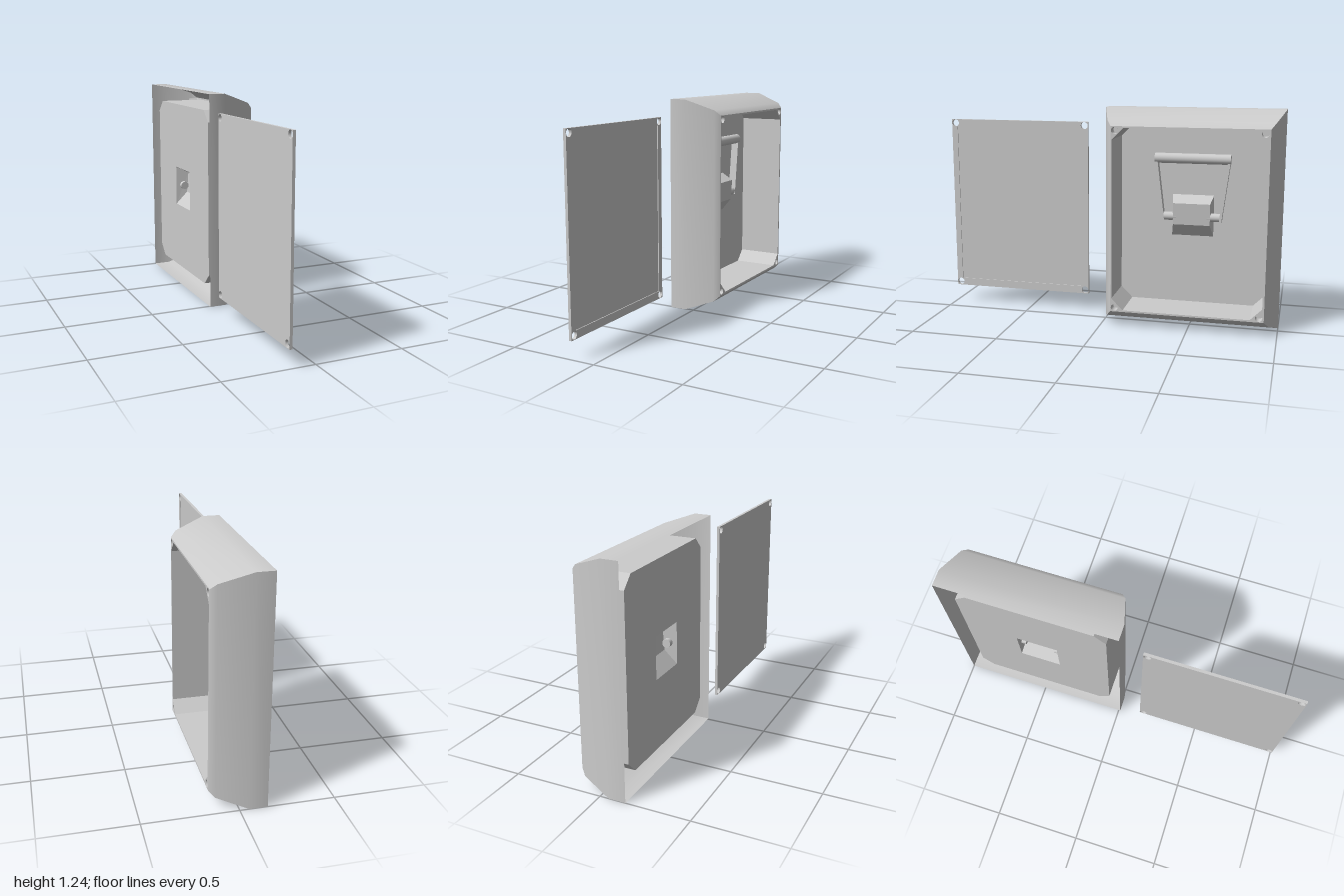
import * as THREE from 'three';

const solid = new THREE.MeshStandardMaterial({ color: 0xcccccc });
const thin = new THREE.MeshStandardMaterial({ color: 0xcccccc, side: THREE.DoubleSide });

// Parts are drawn facing local +z (u across, v up, w out); the group is then turned to face +x.
export function createModel() {
  const model = new THREE.Group();
  model.name = 'latchBox';

  const add = (parent, name, geometry, material, u = 0, v = 0, w = 0) => {
    const mesh = new THREE.Mesh(geometry, material);
    mesh.name = name;
    mesh.position.set(u, v, w);
    parent.add(mesh);
    return mesh;
  };

  // Ribbon of quads between pairs of points
  const ribbon = (pairs, flat = false) => {
    const g = new THREE.BufferGeometry();
    const index = [];
    for (let i = 0; i < pairs.length - 1; i++) {
      const k = i * 2;
      index.push(k, k + 1, k + 3, k, k + 3, k + 2);
    }
    g.setAttribute('position', new THREE.Float32BufferAttribute(pairs.flat(2), 3));
    g.setIndex(index);
    const out = flat ? g.toNonIndexed() : g;
    out.computeVertexNormals();
    return out;
  };

  // Rectangle outline, with optional cut corners
  const outline = (u0, u1, v0, v1, c = 0) => (c
    ? [[u0 + c, v0], [u1 - c, v0], [u1, v0 + c], [u1, v1 - c],
      [u1 - c, v1], [u0 + c, v1], [u0, v1 - c], [u0, v0 + c]]
    : [[u0, v0], [u1, v0], [u1, v1], [u0, v1]]).map(([x, y]) => new THREE.Vector2(x, y));

  const circle = (u, v, r) => new THREE.Path().absarc(u, v, r, 0, Math.PI * 2, true);
  const shape = (points, holes = []) => {
    const s = new THREE.Shape(points);
    s.holes.push(...holes);
    return s;
  };
  const corners = (u0, u1, v0, v1) => [[u0, v0], [u1, v0], [u1, v1], [u0, v1]];

  // ---- Housing ----
  const housing = new THREE.Group();
  housing.name = 'housing';
  model.add(housing);

  // Outer shell: w, inset across, inset up
  const profile = [[-0.145, 0, 0], [-0.05, 0, 0], [0.115, 0.048, 0.06], [0.145, 0.072, 0.09]];
  const ring = ([w, du, dv]) => corners(-0.01 + du, 1 - du, dv, 1.24 - dv).map(([u, v]) => [u, v, w]);
  for (let side = 0; side < 4; side++) {
    const pairs = profile.map((p) => {
      const r = ring(p);
      return [r[side], r[(side + 1) % 4]];
    });
    add(housing, 'shellSide', ribbon(pairs.reverse().map(([a, b]) => [b, a])), thin);
  }

  // Front rim with a cut-corner opening and screw holes
  const opening = outline(0.068, 0.917, 0.1, 1.14, 0.066);
  const screws = corners(0.085, 0.9, 0.114, 1.126);
  const rim = shape(outline(0.062, 0.928, 0.09, 1.15),
    [new THREE.Path(opening), ...screws.map(([u, v]) => circle(u, v, 0.02))]);
  add(housing, 'frontRim', new THREE.ShapeGeometry(rim, 16), thin, 0, 0, 0.145);

  // Blind screw sockets
  for (const [u, v] of screws) {
    const tube = new THREE.CylinderGeometry(0.02, 0.02, 0.06, 24, 1, true).rotateX(Math.PI / 2);
    add(housing, 'screwSocket', tube, thin, u, v, 0.115);
    add(housing, 'socketBottom', new THREE.CircleGeometry(0.02, 24), thin, u, v, 0.085);
  }

  // Tub walls and floor
  const floorW = -0.122;
  const wall = [...opening, opening[0]].map((p) => [[p.x, p.y, 0.145], [p.x, p.y, floorW]]);
  add(housing, 'tubWall', ribbon(wall, true), thin);
  const pocketHole = new THREE.Path(outline(0.37, 0.61, 0.5, 0.74));
  add(housing, 'tubFloor', new THREE.ShapeGeometry(shape(opening, [pocketHole])), thin, 0, 0, floorW);

  // Hinge pocket, hollow and open at the back: w, v, end taper
  const hump = [[floorW, 0.5, 0], [-0.055, 0.575, 0.014], [-0.045, 0.7, 0.014], [floorW, 0.74, 0]];
  const ends = [0, 1].map((e) => hump.map(([w, v, t]) => [e ? 0.61 - t : 0.37 + t, v, w]));
  add(housing, 'hingePocket', ribbon(hump.map((_, i) => [ends[0][i], ends[1][i]]), true), thin);
  for (const p of ends) {
    add(housing, 'hingePocketEnd', ribbon([[p[0], p[3]], [p[1], p[2]]], true), thin);
  }

  // ---- Handle ----
  const handle = new THREE.Group();
  handle.name = 'handle';
  model.add(handle);
  const rod = (r, length) => new THREE.CylinderGeometry(r, r, length, 24).rotateZ(Math.PI / 2);
  add(handle, 'gripBar', rod(0.029, 0.43), solid, 0.49, 0.956, -0.07);
  for (const s of [-1, 1]) {
    add(handle, 'hingePin', rod(0.024, 0.085), solid, 0.49 + s * 0.13, 0.62, -0.075);
    const arm = new THREE.Shape([[0.157, 0.6], [0.171, 0.6], [0.214, 0.94], [0.199, 0.94]]
      .map(([u, v]) => new THREE.Vector2(0.49 + s * u, v)));
    add(handle, 'handleArm',
      new THREE.ExtrudeGeometry(arm, { depth: 0.046, bevelEnabled: false }), solid, 0, 0, -0.096);
  }

  // ---- Loose cover plate ----
  const cover = new THREE.Group();
  cover.name = 'coverPlate';
  model.add(cover);
  const inner = outline(-0.965, -0.175, 0.143, 1.1);
  const holes = corners(-0.977, -0.163, 0.121, 1.123).map(([u, v]) => circle(u, v, 0.021));
  const frame = shape(outline(-1, -0.14, 0.098, 1.145), [new THREE.Path(inner), ...holes]);
  add(cover, 'coverFrame',
    new THREE.ExtrudeGeometry(frame, { depth: 0.016, bevelEnabled: false, curveSegments: 16 }), solid, 0, 0, -0.145);
  add(cover, 'coverPanel',
    new THREE.ExtrudeGeometry(shape(inner), { depth: 0.011, bevelEnabled: false }), solid, 0, 0, -0.145);

  model.rotation.y = Math.PI / 2;
  const root = new THREE.Group();
  root.name = 'latchBoxAssembly';
  root.add(model);
  return root;
}
